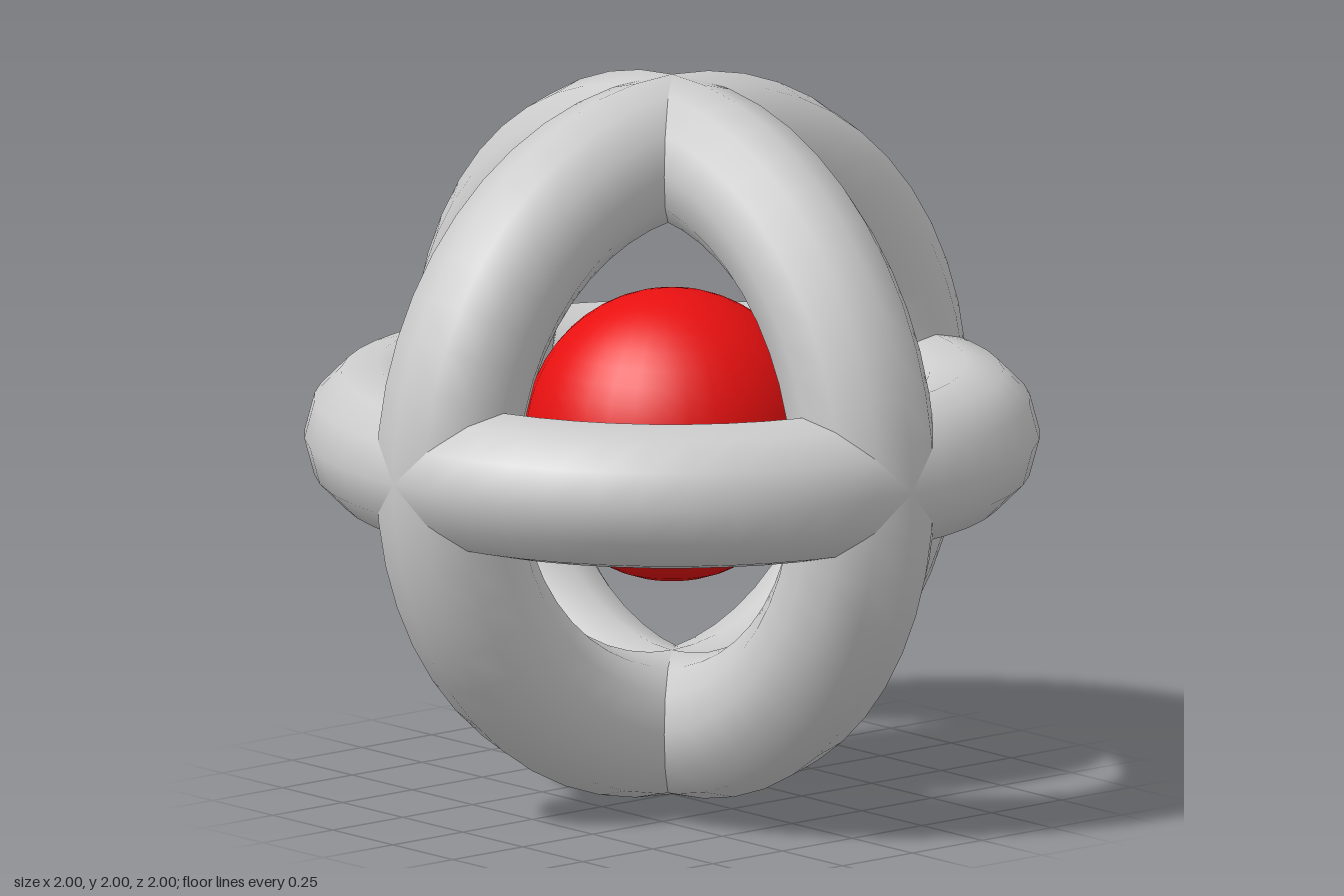
import * as THREE from 'three';

export function createModel() {
  const group = new THREE.Group();
  const grey = new THREE.MeshStandardMaterial({ color: 0xcccccc });
  const red = new THREE.MeshStandardMaterial({ color: 0xe81010 });

  // Three interlocking rings, one in each main plane
  const ringGeometry = new THREE.TorusGeometry(0.8, 0.2, 12, 48);
  const rings = [
    ['frontRing', 0, 0],
    ['sideRing', 0, Math.PI / 2],
    ['levelRing', Math.PI / 2, 0],
  ];
  for (const [name, rx, ry] of rings) {
    const ring = new THREE.Mesh(ringGeometry, grey);
    ring.name = name;
    ring.rotation.set(rx, ry, 0);
    ring.position.y = 1;
    group.add(ring);
  }

  // Ball floating in the middle
  const ball = new THREE.Mesh(new THREE.SphereGeometry(0.4, 32, 24), red);
  ball.name = 'coreBall';
  ball.position.y = 1;
  group.add(ball);

  return group;
}
